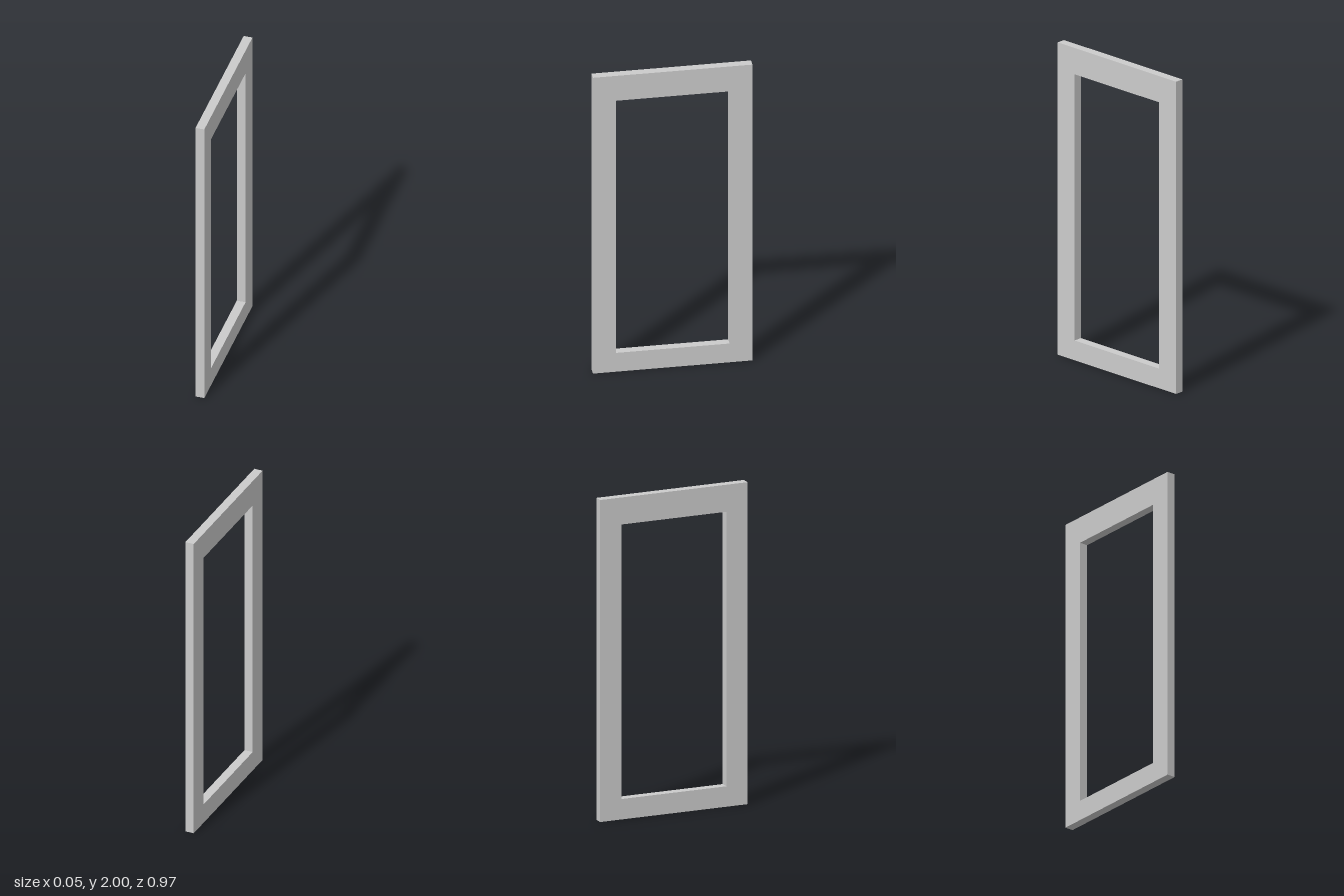
import * as THREE from 'three';

const DEPTH = 0.055;
const HALF_WIDTH = 0.485, HEIGHT = 2;
const HALF_OPENING = 0.346, OPENING_BOTTOM = 0.127, OPENING_TOP = 1.832;

// Rectangle outline, symmetric about the vertical axis
function rectangle(Type, halfWidth, bottom, top) {
  return new Type([
    new THREE.Vector2(-halfWidth, bottom),
    new THREE.Vector2(halfWidth, bottom),
    new THREE.Vector2(halfWidth, top),
    new THREE.Vector2(-halfWidth, top),
  ]);
}

export function createModel() {
  const group = new THREE.Group();
  group.name = 'rectangularFrame';

  // Flat frame with a rectangular opening, wider at the top rail
  const outline = rectangle(THREE.Shape, HALF_WIDTH, 0, HEIGHT);
  outline.holes.push(rectangle(THREE.Path, HALF_OPENING, OPENING_BOTTOM, OPENING_TOP));
  const geometry = new THREE.ExtrudeGeometry(outline, { depth: DEPTH, bevelEnabled: false });

  // Centre the thickness, then turn the frame to face along x
  geometry.translate(0, 0, -DEPTH / 2);
  geometry.rotateY(Math.PI / 2);

  const frame = new THREE.Mesh(geometry, new THREE.MeshStandardMaterial({ color: 0xcccccc }));
  frame.name = 'frame';
  group.add(frame);
  return group;
}
